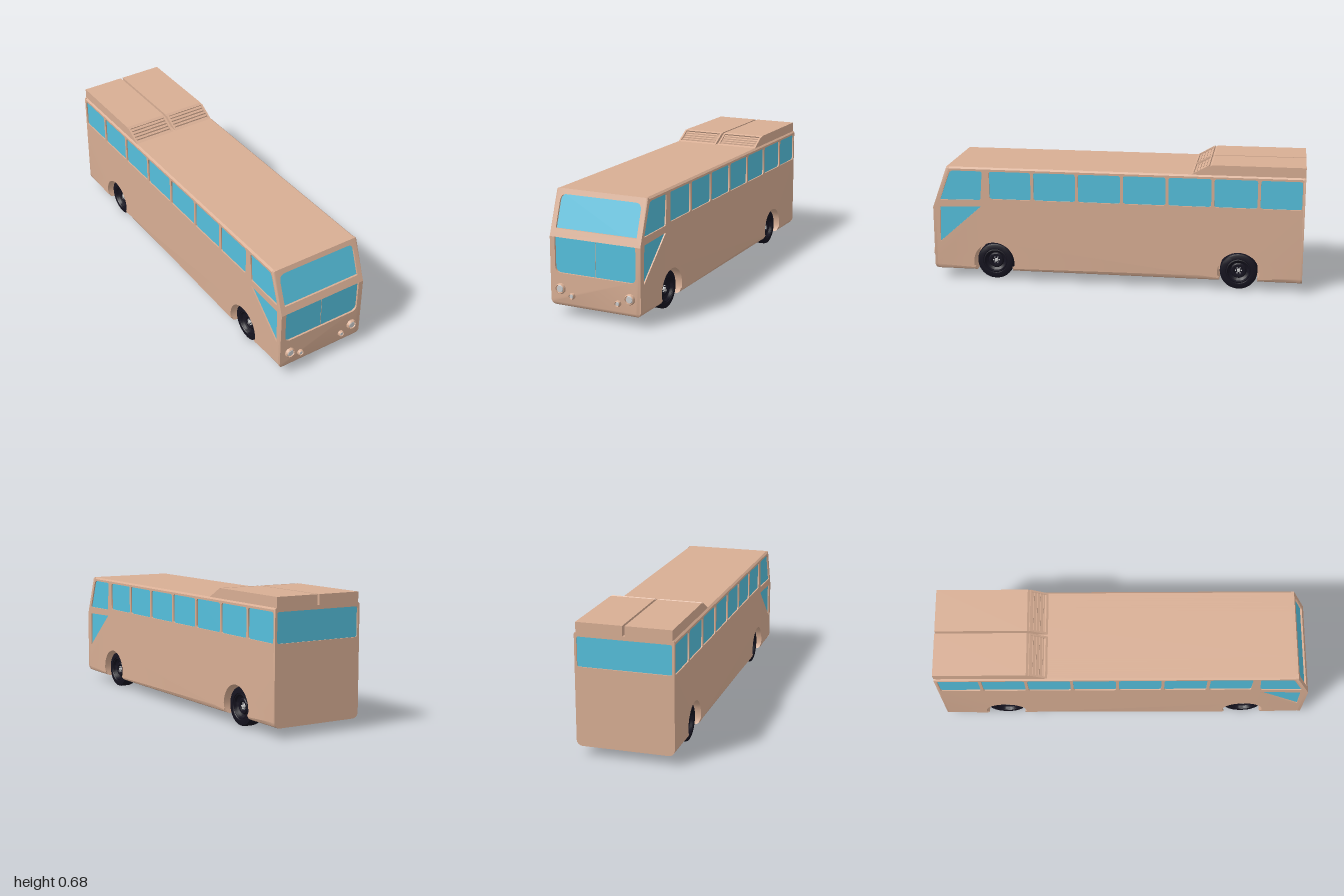
import * as THREE from 'three';
import { toCreasedNormals } from 'three/addons/utils/BufferGeometryUtils.js';

const paint = new THREE.MeshStandardMaterial({ color: 0xd8ae94, side: THREE.DoubleSide });
const glass = new THREE.MeshStandardMaterial({ color: 0x55bfdc, side: THREE.DoubleSide });
const rubber = new THREE.MeshStandardMaterial({ color: 0x15131f, side: THREE.DoubleSide });
const dark = new THREE.MeshStandardMaterial({ color: 0x555555 });
const grey = new THREE.MeshStandardMaterial({ color: 0xcccccc });

const FLOOR = 0.05, ROOF = 0.626, HALF = 0.25, NOSE = 0.985, BEND = 0.4;
const SKIN = 0.015, RAKE = 0.08 / (ROOF - BEND);
const AXLES = [0.655, -0.665];

// Polygon with rounded corners, points are [x, y, radius]
function roundedPoly(points, Type = THREE.Shape) {
  const path = new Type();
  const n = points.length;
  points.forEach(([x, y, r = 0], i) => {
    const c = new THREE.Vector2(x, y);
    const toward = (p) => new THREE.Vector2(p[0], p[1]).sub(c).setLength(r).add(c);
    const a = toward(points[(i + n - 1) % n]);
    const b = toward(points[(i + 1) % n]);
    if (i === 0) path.moveTo(a.x, a.y); else path.lineTo(a.x, a.y);
    if (r > 0) path.quadraticCurveTo(x, y, b.x, b.y);
  });
  path.closePath();
  return path;
}

const rect = (x0, y0, x1, y1, r = 0) => [[x0, y0, r], [x1, y0, r], [x1, y1, r], [x0, y1, r]];

const extrude = (shape, depth, steps = 1) =>
  new THREE.ExtrudeGeometry(shape, { depth, steps, bevelEnabled: false, curveSegments: 12 });

// Height lost by a rounded edge of radius r at distance d from the face
const roll = (d, r) => (d >= r ? 0 : r - Math.sqrt(Math.max(0, r * r - (r - d) ** 2)));

// Rounds the floor and roof edges of a body panel
function softenEdges(geo) {
  const p = geo.attributes.position;
  for (let i = 0; i < p.count; i++) {
    const side = HALF - Math.abs(p.getX(i));
    const y = p.getY(i);
    if (y < FLOOR + 0.0005) {
      p.setY(i, y + Math.max(roll(side, 0.03), roll(NOSE - p.getZ(i), 0.02)));
    } else if (y > ROOF - 0.0005) p.setY(i, y - roll(side, 0.009));
  }
  return toCreasedNormals(geo, 0.6);
}

// Leans everything above the bend backwards
function rake(geo) {
  const p = geo.attributes.position;
  for (let i = 0; i < p.count; i++) {
    p.setZ(i, p.getZ(i) - Math.max(0, p.getY(i) - BEND) * RAKE);
  }
  geo.computeVertexNormals();
  return geo;
}

function add(parent, name, geo, mat, x = 0, y = 0, z = 0) {
  const mesh = new THREE.Mesh(geo, mat);
  mesh.name = name;
  mesh.position.set(x, y, z);
  parent.add(mesh);
  return mesh;
}

// Side outline, drawn with -z to the right
function sideOutline(withArches) {
  const s = new THREE.Shape();
  const front = SKIN - NOSE;
  s.moveTo(0.99, FLOOR).lineTo(0.99, ROOF).lineTo(front + 0.08, ROOF).lineTo(front, BEND).lineTo(front, FLOOR);
  if (withArches) {
    const dip = Math.asin(0.05 / 0.112);
    AXLES.forEach((z) => s.absarc(-z, 0.1, 0.112, Math.PI + dip, -dip, true));
  }
  s.closePath();
  return s;
}

function sideWindows() {
  const list = [
    [[-0.945, 0.443, 0.006], [-0.722, 0.447, 0.012], [-0.71, 0.606, 0.012], [-0.885, 0.606, 0.02]],
    [[-0.95, 0.21, 0.006], [-0.72, 0.412, 0.004], [-0.945, 0.404, 0.006]],
  ];
  for (let i = 0; i < 7; i++) {
    const u = -0.672 + i * 0.2405;
    list.push(rect(u, 0.455, Math.min(u + 0.225, 0.985), 0.606, 0.014));
  }
  return list;
}

function makeBody(bus) {
  const windows = sideWindows();
  const core = extrude(sideOutline(false), 0.26).rotateY(Math.PI / 2).translate(-0.13, 0, 0);
  add(bus, 'bodyCore', core, paint);

  const wall = sideOutline(true);
  wall.holes = windows.map((w) => roundedPoly(w, THREE.Path));
  for (const s of [1, -1]) {
    const name = s > 0 ? 'left' : 'right';
    const geo = extrude(wall, 0.12, 12).rotateY(Math.PI / 2).translate(s > 0 ? 0.13 : -0.25, 0, 0);
    add(bus, name + 'Side', softenEdges(geo), paint);
    const panes = new THREE.ShapeGeometry(windows.map((w) => roundedPoly(w))).rotateY(Math.PI / 2);
    add(bus, name + 'Windows', panes, glass, s * 0.243);
  }

  // Points along a floor or roof edge, dense near the corners
  const edge = [-0.25, -0.247, -0.24, -0.23, -0.22, 0.22, 0.23, 0.24, 0.247, 0.25];
  const along = (y) => edge.map((x) => [x, y]);

  // Nose: upright lower panel, raked upper panel, windscreen
  const lower = roundedPoly([...along(FLOOR), [HALF, BEND], [0.223, BEND], [0.223, 0.22, 0.035],
    [-0.223, 0.22, 0.035], [-0.223, BEND], [-HALF, BEND]]);
  add(bus, 'lowerNose', softenEdges(extrude(lower, SKIN, 4).translate(0, 0, NOSE - SKIN)), paint);
  const upper = roundedPoly([[-HALF, BEND], [HALF, BEND], ...along(ROOF).reverse()]);
  upper.holes.push(roundedPoly([[-0.223, 0.44], [0.223, 0.44], [0.223, 0.6, 0.035], [-0.223, 0.6, 0.035]], THREE.Path));
  add(bus, 'upperNose', softenEdges(rake(extrude(upper, SKIN).translate(0, 0, NOSE - SKIN))), paint);
  for (const [name, y0, y1] of [['lowerWindscreen', 0.21, BEND], ['upperWindscreen', BEND, 0.61]]) {
    const pane = new THREE.ShapeGeometry(roundedPoly(rect(-0.23, y0, 0.23, y1))).translate(0, 0, NOSE - 0.01);
    add(bus, name, rake(pane), glass);
  }
  add(bus, 'windscreenSeam', new THREE.BoxGeometry(0.002, 0.18, 0.002), paint, 0, 0.31, NOSE - 0.0095);

  // Tail panel with its wide window
  const tail = roundedPoly([...along(FLOOR), ...along(ROOF).reverse()]);
  const rear = rect(-0.238, 0.455, 0.238, 0.606, 0.012);
  tail.holes.push(roundedPoly(rear, THREE.Path));
  add(bus, 'tail', softenEdges(extrude(tail, 0.01).translate(0, 0, -1)), paint);
  add(bus, 'rearWindow', new THREE.ShapeGeometry(roundedPoly(rear)), glass, 0, 0, -0.994);
}

// Roof housing with a louvred sloping front
function makeRoofUnit(side) {
  const unit = new THREE.Group();
  unit.name = side > 0 ? 'leftRoofUnit' : 'rightRoofUnit';
  const w = 0.235, top = 0.678, base = 0.622;
  const profile = roundedPoly([[0.42, base], [1, base], [1, top], [0.515, top]]);
  add(unit, 'housing', extrude(profile, w).rotateY(Math.PI / 2).translate(-w / 2, 0, 0), paint);
  const grille = new THREE.Group();
  grille.name = 'grille';
  const angle = Math.atan2(0.1, top - base), len = Math.hypot(0.1, top - base);
  grille.position.set(0, base, -0.4);
  grille.rotation.x = -angle;
  const frame = roundedPoly(rect(-w / 2, 0, w / 2, len));
  frame.holes.push(roundedPoly(rect(-w / 2 + 0.01, 0.02, w / 2 - 0.01, len - 0.007), THREE.Path));
  add(grille, 'frame', extrude(frame, 0.014), paint, 0, 0, -0.014);
  add(grille, 'backing', new THREE.BoxGeometry(w - 0.01, len - 0.01, 0.002), dark, 0, len / 2, -0.011);
  for (let i = 0; i < 4; i++) {
    const slat = add(grille, 'slat', new THREE.BoxGeometry(w - 0.02, 0.0075, 0.0025), paint, 0, 0.034 + i * 0.019, -0.006);
    slat.rotation.x = angle;
  }
  unit.add(grille);
  unit.position.x = side * 0.1235;
  return unit;
}

// Wheel with its outer face towards +x
function makeWheel() {
  const wheel = new THREE.Group();
  const lathe = (pts) => toCreasedNormals(
    new THREE.LatheGeometry(pts.map(([r, x]) => new THREE.Vector2(r, x)), 40).rotateZ(-Math.PI / 2), 0.5);
  add(wheel, 'tyre', lathe([[0, -0.04], [0.06, -0.045], [0.085, -0.04], [0.096, -0.03], [0.1, -0.015], [0.1, 0.03],
    [0.096, 0.041], [0.088, 0.045], [0.068, 0.045], [0.064, 0.038]]), rubber);
  add(wheel, 'rim', lathe([[0.066, 0.04], [0.06, 0.042], [0.055, 0.03], [0.042, 0.022], [0.036, 0.03], [0.026, 0.03],
    [0.022, 0.018], [0, 0.018]]), rubber);
  add(wheel, 'hub', new THREE.CylinderGeometry(0.008, 0.01, 0.014, 16).rotateZ(-Math.PI / 2), grey, 0.024);
  for (let i = 0; i < 6; i++) {
    const a = (i * Math.PI) / 3;
    add(wheel, 'wheelNut', new THREE.CylinderGeometry(0.003, 0.003, 0.01, 6).rotateZ(Math.PI / 2), grey,
      0.022, 0.016 * Math.sin(a), 0.016 * Math.cos(a));
  }
  return wheel;
}

// Lamp with a raised bezel and a grey lens
function makeLamp(name, r, lens) {
  const lamp = new THREE.Group();
  lamp.name = name;
  const pts = [[r, -0.004], [r, 0.008], [r - 0.003, 0.014], [lens + 0.002, 0.015], [lens, 0.01]];
  add(lamp, 'bezel', toCreasedNormals(
    new THREE.LatheGeometry(pts.map((p) => new THREE.Vector2(...p)), 32).rotateX(Math.PI / 2), 0.6), paint);
  add(lamp, 'lens', new THREE.CylinderGeometry(lens * 0.8, lens, 0.014, 32).rotateX(Math.PI / 2), grey, 0, 0, 0.006);
  return lamp;
}

export function createModel() {
  const bus = new THREE.Group();
  bus.name = 'bus';
  makeBody(bus);
  for (const s of [1, -1]) {
    bus.add(makeRoofUnit(s));
    AXLES.forEach((z, i) => {
      const wheel = makeWheel();
      wheel.name = (i ? 'rear' : 'front') + 'Wheel';
      wheel.position.set(s * 0.18, 0.1, z);
      if (s < 0) wheel.rotation.y = Math.PI;
      bus.add(wheel);
    });
    const head = makeLamp('headlamp', 0.027, 0.02);
    head.position.set(s * 0.193, 0.141, NOSE);
    const fog = makeLamp('fogLamp', 0.016, 0.011);
    fog.position.set(s * 0.128, 0.111, NOSE);
    bus.add(head, fog);
  }
  return bus;
}
